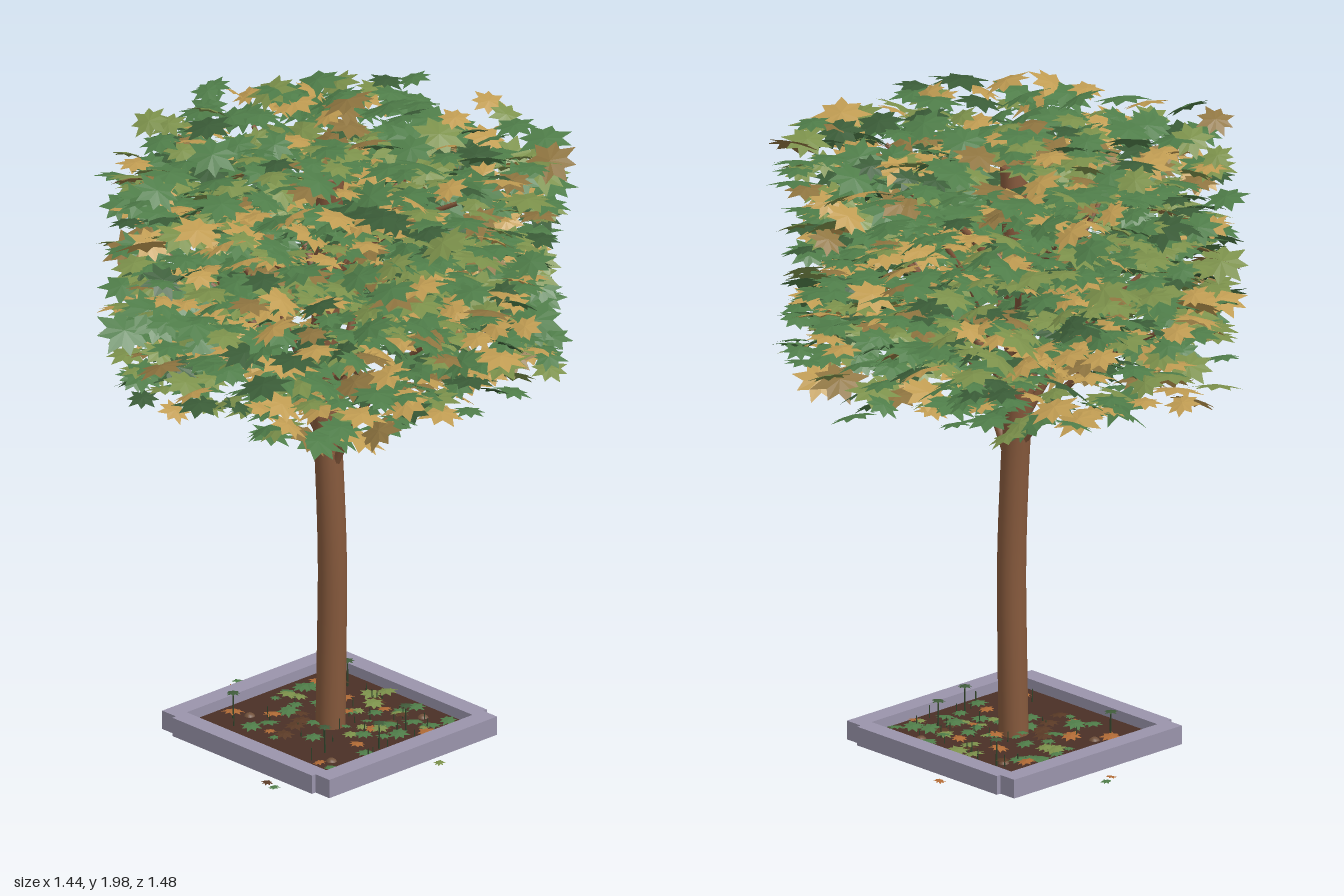
import * as THREE from 'three';
import { mergeGeometries } from 'three/addons/utils/BufferGeometryUtils.js';

const V = (x, y, z) => new THREE.Vector3(x, y, z);

function seeded(seed) {
  return () => {
    seed = (seed * 1664525 + 1013904223) % 4294967296;
    return seed / 4294967296;
  };
}

const paint = (color, extra = {}) => new THREE.MeshStandardMaterial({ color, ...extra });
const leafPaint = (color) => paint(color, { side: THREE.DoubleSide, flatShading: true });

function add(parent, name, geometry, material) {
  const mesh = new THREE.Mesh(geometry, material);
  mesh.name = name;
  parent.add(mesh);
  return mesh;
}

// Tube along a curve whose radius shrinks from r0 to r1
function taperedTube(points, r0, r1, segments, sides) {
  const curve = new THREE.CatmullRomCurve3(points);
  const geo = new THREE.TubeGeometry(curve, segments, 1, sides);
  const pos = geo.attributes.position;
  const v = V(0, 0, 0);
  for (let i = 0; i <= segments; i++) {
    const c = curve.getPointAt(i / segments);
    const r = THREE.MathUtils.lerp(r0, r1, i / segments);
    for (let j = 0; j <= sides; j++) {
      const k = i * (sides + 1) + j;
      v.fromBufferAttribute(pos, k).sub(c).multiplyScalar(r).add(c);
      pos.setXYZ(k, v.x, v.y, v.z);
    }
  }
  return geo;
}

// Eight-pointed leaf of unit radius, raised a little in the middle
function starLeaf() {
  const pts = [0, 0.1, 0];
  const index = [];
  const n = 16;
  for (let i = 0; i < n; i++) {
    const a = (i / n) * Math.PI * 2;
    const r = i % 2 ? 0.56 : (i % 4 ? 0.88 : 1);
    pts.push(r * Math.cos(a), i % 2 ? 0.02 : -0.06, -r * Math.sin(a));
    index.push(0, 1 + i, 1 + ((i + 1) % n));
  }
  const geo = new THREE.BufferGeometry();
  geo.setAttribute('position', new THREE.Float32BufferAttribute(pts, 3));
  geo.setIndex(index);
  geo.computeVertexNormals();
  return geo;
}

// Leaf placed at an azimuth and radius, tilted about its radial direction
function placeLeaf(leaf, angle, r, y, tilt, pitch, spin, size) {
  const m = new THREE.Matrix4().makeTranslation(r * Math.cos(angle), y, -r * Math.sin(angle));
  const t = new THREE.Matrix4();
  m.multiply(t.makeRotationY(angle));
  m.multiply(t.makeRotationX(tilt));
  m.multiply(t.makeRotationZ(pitch));
  m.multiply(t.makeRotationY(spin));
  m.multiply(t.makeScale(size, size, size));
  return leaf.clone().applyMatrix4(m);
}

function createTrunk(bark) {
  const group = new THREE.Group();
  group.name = 'trunk';
  const path = [V(-0.006, 0.02, 0.008), V(0, 0.3, 0.008), V(0.005, 0.6, 0.01), V(-0.004, 0.9, 0.014),
    V(-0.021, 1.2, 0.018), V(-0.01, 1.5, 0.02), V(0.01, 1.86, 0.022)];
  add(group, 'trunkStem', taperedTube(path, 0.046, 0.041, 40, 14), bark);
  const top = add(group, 'trunkTop', new THREE.SphereGeometry(0.041, 14, 8), bark);
  top.position.set(0.01, 1.86, 0.022);
  top.scale.y = 0.3;
  const root = add(group, 'rootStub', new THREE.SphereGeometry(0.034, 14, 8), bark);
  root.position.set(-0.006, 0.025, 0.008);
  root.scale.y = 0.73;
  return group;
}

function createBranches(bark) {
  const group = new THREE.Group();
  group.name = 'branches';
  // azimuth, starting height, reach, rise
  const limbs = [
    [0, 0.89, 0.5, 0.6], [3.25, 0.98, 0.55, 0.48], [0.8, 1.13, 0.5, 0.56], [3.95, 1.05, 0.5, 0.56],
    [4.75, 1.0, 0.36, 0.66], [1.65, 1.05, 0.36, 0.7], [5.7, 1.14, 0.55, 0.3], [2.4, 1.2, 0.5, 0.5],
    [5.0, 1.35, 0.5, 0.45], [0.3, 1.5, 0.45, 0.36], [2.9, 1.4, 0.45, 0.45], [1.4, 1.45, 0.4, 0.42]];
  for (const [a, y, reach, rise] of limbs) {
    const at = (r, h) => V(-0.01 + r * Math.cos(a), y + h, 0.015 - r * Math.sin(a));
    const path = [at(0.015, 0), at(reach * 0.25, rise * 0.34), at(reach * 0.6, rise * 0.72), at(reach, rise)];
    add(group, 'branch', taperedTube(path, 0.015, 0.007, 14, 7), bark);
  }
  return group;
}

function createCanopy() {
  const group = new THREE.Group();
  group.name = 'canopy';
  const rand = seeded(42);
  const leaf = starLeaf();
  const colors = [0x4f7d49, 0x7c914b, 0xc09c52, 0x3b5d38, 0x8f7540];
  const share = [0.45, 0.67, 0.84, 0.93, 1];
  const batches = colors.map(() => []);
  const count = 1400;
  for (let i = 0; i < count; i++) {
    const y = 1.23 + 0.72 * ((i * 0.7548777) % 1);
    // lower layers leave the middle open for the branches
    const inner = THREE.MathUtils.clamp(0.2 - (y - 1.23) * 0.8, 0.02, 0.2);
    const r = Math.sqrt(THREE.MathUtils.lerp(inner * inner, 0.66 * 0.66, rand() ** 0.9));
    const tilt = (rand() - 0.5) * 1.2;
    const size = 0.056 + 0.042 * rand() ** 1.3;
    const pick = rand();
    batches[share.findIndex((s) => pick <= s)].push(
      placeLeaf(leaf, i * 2.399963, r, y, tilt, (rand() - 0.5) * 0.3, rand() * 6.28, size));
  }
  // leaves closing the crown over the trunk
  for (let i = 0; i < 5; i++) {
    batches[i % 2].push(placeLeaf(leaf, i * 1.257, 0.045, 1.9 + i * 0.012, 0.15, 0, i, 0.08));
  }
  batches.forEach((b, i) => add(group, 'canopyLeaves', mergeGeometries(b), leafPaint(colors[i])));
  return group;
}

function createPlanter() {
  const group = new THREE.Group();
  group.name = 'planter';
  const stone = paint(0x9a94ab);
  // two side kerbs, with slightly prouder front and back kerbs between them
  for (const s of [1, -1]) {
    const side = add(group, 'sideKerb', new THREE.BoxGeometry(0.06, 0.06, 0.7), stone);
    side.position.set(-0.01 + s * 0.335, 0.055, 0.007);
    const end = add(group, 'endKerb', new THREE.BoxGeometry(0.61, 0.06, 0.06), stone);
    end.position.set(-0.01, 0.055, 0.007 + s * 0.335);
  }
  const soil = add(group, 'soil', new THREE.BoxGeometry(0.62, 0.022, 0.62), paint(0x4a3026));
  soil.position.set(-0.01, 0.041, 0.007);
  // pebbles sunk through the soil
  const pebblePaint = paint(0x70503a);
  for (const [x, z] of [[0.2, 0.2], [-0.22, 0.14], [0.15, -0.23], [-0.18, -0.2]]) {
    const pebble = add(group, 'pebble', new THREE.SphereGeometry(0.02, 10, 8), pebblePaint);
    pebble.position.set(x, 0.042, z);
  }
  return group;
}

function createGroundCover() {
  const group = new THREE.Group();
  group.name = 'groundCover';
  const rand = seeded(7);
  const leaf = starLeaf();
  const colors = [0x4f7d49, 0xb06a35, 0x7c914b, 0x5a3a26];
  const batches = colors.map(() => []);
  const drop = (x, y, z, size, c) => batches[c].push(placeLeaf(
    leaf, Math.atan2(-z, x), Math.hypot(x, z), y, (rand() - 0.5) * 0.4, 0, rand() * 6, size));
  // litter on the soil
  for (let i = 0; i < 64; i++) {
    const color = [0, 2, 0, 1, 0, 3][i % 6];
    drop((rand() - 0.5) * 0.52, 0.06 + rand() * 0.012, (rand() - 0.5) * 0.52, 0.018 + rand() * 0.022, color);
  }
  // a few leaves blown outside the kerb
  const strays = [[-0.47, -0.05], [-0.45, -0.01], [0.4, -0.06], [0.15, 0.42], [0.19, 0.43], [-0.12, -0.41]];
  strays.forEach(([x, z], i) => drop(x, 0.032, z, 0.02, i % 4));
  batches.forEach((b, i) => add(group, 'fallenLeaves', mergeGeometries(b), leafPaint(colors[i])));

  // thin seedlings with a flat tuft, and short grass blades
  const stems = [];
  const tufts = [];
  const stalk = (x, z, h, r) => stems.push(
    new THREE.CylinderGeometry(r * 0.7, r, h, 5).translate(x, 0.05 + h / 2, z));
  const seedlings = [[-0.24, 0.19], [-0.18, -0.23], [0.14, 0.17], [0.19, -0.12], [0.23, 0.03]];
  for (const [x, z] of seedlings) {
    stalk(x, z, 0.085, 0.003);
    tufts.push(leaf.clone().scale(0.025, 0.025, 0.025).translate(x, 0.136, z));
  }
  for (let i = 0; i < 36; i++) {
    stalk((rand() - 0.5) * 0.54, (rand() - 0.5) * 0.54, 0.02 + rand() * 0.025, 0.002);
  }
  add(group, 'stalks', mergeGeometries(stems), paint(0x33452c));
  add(group, 'seedlingTufts', mergeGeometries(tufts), leafPaint(0x3f5b3a));
  return group;
}

export function createModel() {
  const model = new THREE.Group();
  model.name = 'plantedTree';
  const bark = paint(0x86593c);
  model.add(createTrunk(bark), createBranches(bark), createCanopy(), createPlanter(), createGroundCover());
  return model;
}
